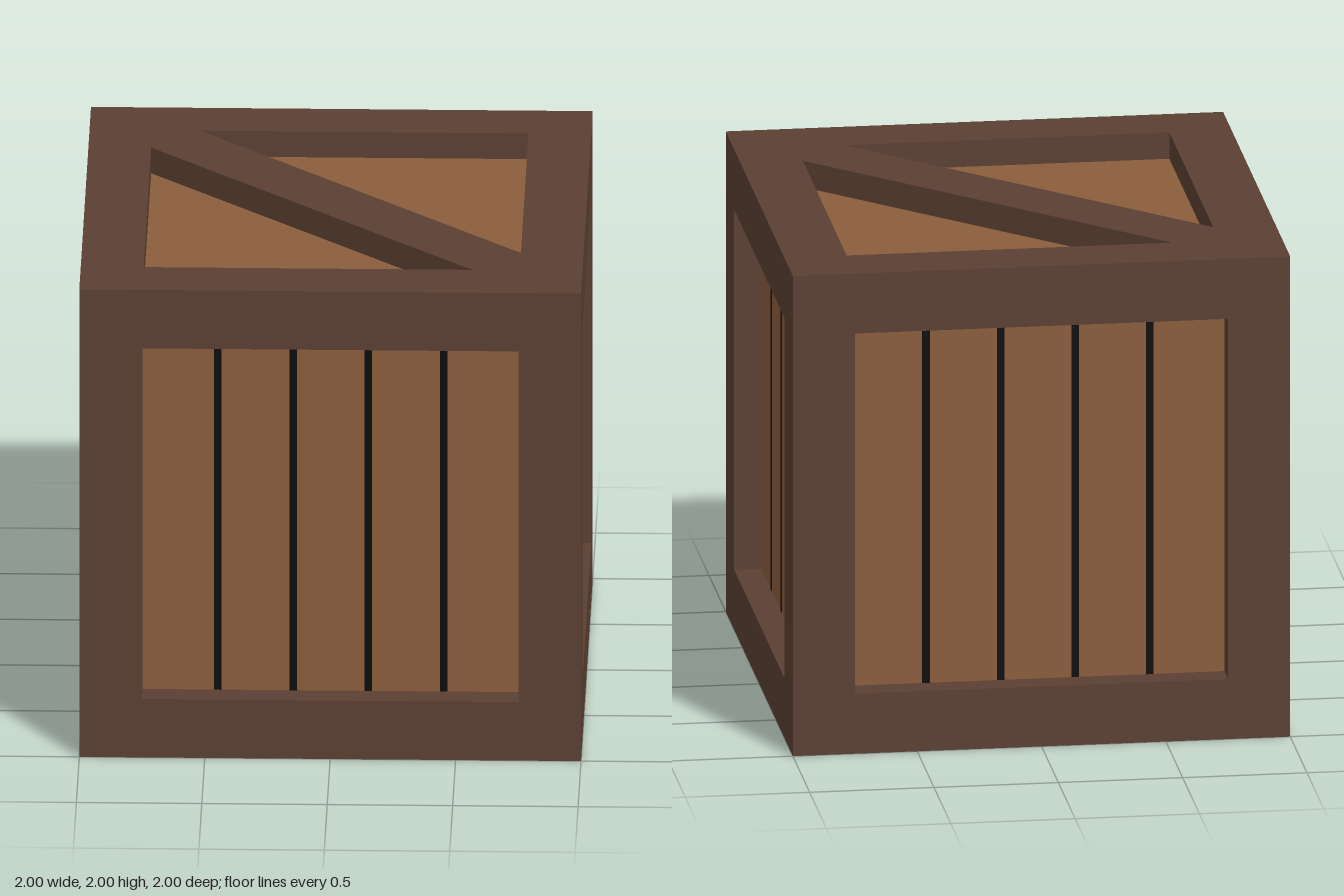
import * as THREE from 'three';

const OUT = 1, IN = 0.75, BEAM = 0.25, RECESS = 0.11, BRACE = 0.19;

export function createModel() {
  const crate = new THREE.Group();
  crate.name = 'crate';
  const frameWood = new THREE.MeshStandardMaterial({ name: 'dark frame wood', color: 0x5c4033 });
  const panelWood = new THREE.MeshStandardMaterial({ name: 'light panel wood', color: 0x8b5e3c });
  const gapBlack = new THREE.MeshStandardMaterial({ name: 'gap black', color: 0x0d0d0d });

  const box = (parent, name, mat, size, pos) => {
    const mesh = new THREE.Mesh(new THREE.BoxGeometry(...size), mat);
    mesh.name = name;
    mesh.position.set(...pos);
    parent.add(mesh);
    return mesh;
  };

  // Frame: four corner posts, with rails between them at top and bottom
  const frame = new THREE.Group();
  frame.name = 'frame';
  crate.add(frame);
  const mid = (OUT + IN) / 2;
  for (const a of [-mid, mid]) {
    for (const b of [-mid, mid]) {
      box(frame, 'cornerPost', frameWood, [BEAM, 2 * OUT, BEAM], [a, OUT, b]);
      box(frame, 'railAlongX', frameWood, [2 * IN, BEAM, BEAM], [0, OUT + a, b]);
      box(frame, 'railAlongZ', frameWood, [BEAM, BEAM, 2 * IN], [a, OUT + b, 0]);
    }
  }

  // Recessed panels on all six sides
  const half = OUT - RECESS;
  box(crate, 'panels', panelWood, [2 * half, 2 * half, 2 * half], [0, OUT, 0]);

  // Dark plank gaps on the four upright sides
  for (let side = 0; side < 4; side++) {
    const gaps = new THREE.Group();
    gaps.name = 'plankGaps';
    gaps.rotation.y = side * Math.PI / 2;
    for (const x of [-0.45, -0.15, 0.15, 0.45]) {
      box(gaps, 'plankGap', gapBlack, [0.03, 2 * IN, 0.004], [x, OUT, half]);
    }
    crate.add(gaps);
  }

  // Diagonal brace across the lid, flush with the frame
  const d = IN - BRACE;
  const outline = [[-IN, -IN], [-d, -IN], [IN, d], [IN, IN], [d, IN], [-IN, -d]];
  const shape = new THREE.Shape(outline.map(([x, z]) => new THREE.Vector2(x, z)));
  const braceGeo = new THREE.ExtrudeGeometry(shape, { depth: RECESS, bevelEnabled: false });
  braceGeo.rotateX(Math.PI / 2);
  const brace = new THREE.Mesh(braceGeo, frameWood);
  brace.name = 'lidBrace';
  brace.position.y = 2 * OUT;
  crate.add(brace);

  return crate;
}
